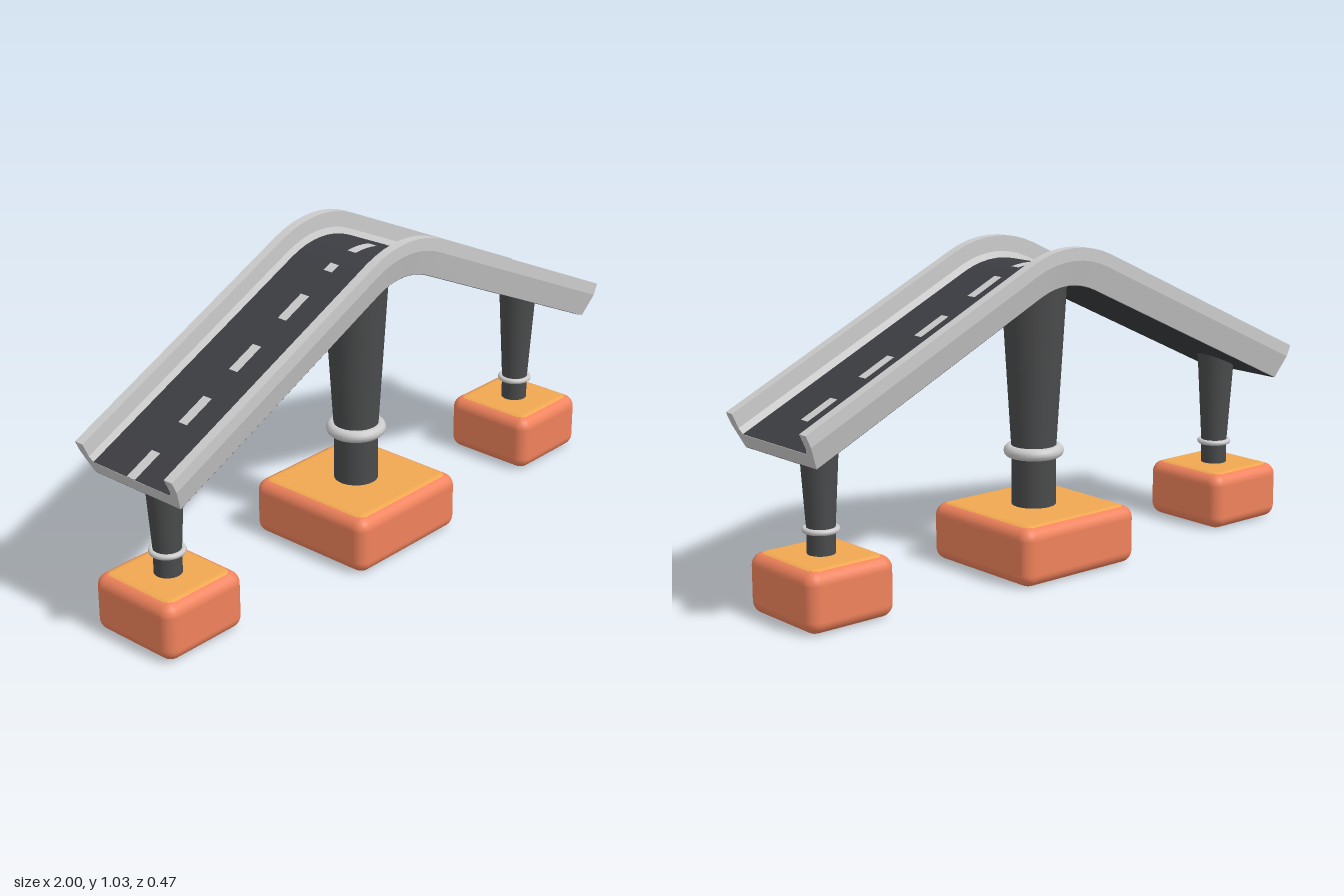
import * as THREE from 'three';
import { toCreasedNormals } from 'three/addons/utils/BufferGeometryUtils.js';
import { RoundedBoxGeometry } from 'three/addons/geometries/RoundedBoxGeometry.js';

const BEND = THREE.MathUtils.degToRad(25); // slope of both ramps
const CY = 0.655;                          // height of the crest's arc centre
const R = 0.26;                            // arc radius at the deck underside
const RAMP = 0.927;                        // length of each straight ramp
const ROAD = 0.047;                        // road height above the underside

const mat = (color, side = THREE.FrontSide) => new THREE.MeshStandardMaterial({ color, side });

// A station is an angle on the crest plus a straight run s along the ramp
function deckPoint({ a, s }, z, h) {
  const r = R + h;
  return new THREE.Vector3(
    r * Math.sin(a) + s * Math.cos(a),
    CY + r * Math.cos(a) - s * Math.sin(a),
    z);
}

// Station whose road surface lies at the given x
function stationAt(x) {
  const r = R + ROAD, edge = r * Math.sin(BEND), sign = Math.sign(x);
  if (Math.abs(x) <= edge) return { a: Math.asin(x / r), s: 0 };
  return { a: sign * BEND, s: (x - sign * edge) / Math.cos(BEND) };
}

// Height of the deck underside at x
function underside(x) {
  const edge = R * Math.sin(BEND), d = Math.abs(x);
  return d < edge
    ? CY + Math.sqrt(R * R - d * d)
    : CY + R * Math.cos(BEND) - (d - edge) * Math.tan(BEND);
}

// Sweep a [z, height] profile through the stations; closed profiles get end caps
function sweep(profile, stations, closed = false) {
  const pts = [];
  const n = profile.length;
  const at = (i, j) => deckPoint(stations[i], ...profile[j % n]);
  for (let i = 0; i < stations.length - 1; i++) {
    for (let j = 0; j < (closed ? n : n - 1); j++) {
      const a = at(i, j), b = at(i, j + 1), c = at(i + 1, j + 1), d = at(i + 1, j);
      pts.push(a, b, c, a, c, d);
    }
  }
  if (closed) {
    const tris = THREE.ShapeUtils.triangulateShape(profile.map(p => new THREE.Vector2(...p)), []);
    for (const i of [0, stations.length - 1]) {
      for (const t of tris) pts.push(...t.map(j => at(i, j)));
    }
  }
  return toCreasedNormals(new THREE.BufferGeometry().setFromPoints(pts), 0.2);
}

export function createModel() {
  const model = new THREE.Group();
  model.name = 'rampBridge';
  const grey = mat(0xcccccc, THREE.DoubleSide);
  const asphalt = mat(0x3c3d42, THREE.DoubleSide);
  const pillarDark = mat(0x4a4b4c);
  const coral = mat(0xf0825c);
  const amber = mat(0xf0a850);

  const add = (parent, name, geometry, material, x = 0, y = 0, z = 0) => {
    const mesh = new THREE.Mesh(geometry, material);
    mesh.name = name;
    mesh.position.set(x, y, z);
    parent.add(mesh);
    return mesh;
  };

  // Deck: trough section with a side wall on each edge
  const stations = [{ a: -BEND, s: -RAMP }];
  for (let i = 0; i <= 8; i++) stations.push({ a: BEND * (i / 4 - 1), s: 0 });
  stations.push({ a: BEND, s: RAMP });
  const wall = [[0.158, ROAD], [0.168, 0.068], [0.168, 0.118], [0.2, 0.118], [0.2, 0.078], [0.178, 0]];
  const trough = [...wall, ...wall.map(([z, h]) => [-z, h]).reverse()];
  add(model, 'deckWithSideWalls', sweep(trough, stations, true), grey);

  // Dark road surface and underside
  const top = ROAD + 0.0015;
  add(model, 'roadSurface', sweep([[-0.159, top], [0.159, top]], stations), asphalt);
  add(model, 'deckUnderside', sweep([[0.177, -0.0015], [-0.177, -0.0015]], stations), asphalt);

  // Centre line dashes
  const dashes = [
    [-0.97, -0.87], [-0.763, -0.66], [-0.554, -0.452], [-0.345, -0.243], [-0.142, -0.11],
    [-0.035, 0.062], [0.13, 0.238], [0.34, 0.446], [0.548, 0.655], [0.757, 0.863],
  ];
  const lane = new THREE.Group();
  lane.name = 'laneMarkings';
  model.add(lane);
  for (const [x0, x1] of dashes) {
    const steps = [0, 0.25, 0.5, 0.75, 1].map(t => stationAt(x0 + (x1 - x0) * t));
    add(lane, 'laneDash', sweep([[-0.017, top + 0.002], [0.017, top + 0.002]], steps), grey);
  }

  // Supports: rounded foot, tapered pillar cut to the deck, collar ring
  const small = { w: 0.31, d: 0.326, r: 0.043, topR: 0.062, ringY: 0.263, ringR: 0.048, tube: 0.009 };
  const large = { w: 0.468, d: 0.466, r: 0.071, topR: 0.105, ringY: 0.365, ringR: 0.076, tube: 0.02 };
  const supports = [
    ['rightSupport', -0.845, small],
    ['middleSupport', -0.015, large],
    ['leftSupport', 0.815, small],
  ];
  for (const [name, x, p] of supports) {
    const support = new THREE.Group();
    support.name = name;
    support.position.x = x;
    model.add(support);

    add(support, 'foot', new RoundedBoxGeometry(p.w, 0.188, p.d, 4, 0.04), coral, 0, 0.094);
    add(support, 'footTop', new RoundedBoxGeometry(p.w - 0.01, 0.16, p.d - 0.01, 4, 0.04), amber, 0, 0.11);

    const profile = [[p.r, 0.15], [p.r, p.ringY], [p.topR, 1], [0, 1]].map(q => new THREE.Vector2(...q));
    const pillar = new THREE.LatheGeometry(profile, 32);
    const pos = pillar.attributes.position;
    for (let i = 0; i < pos.count; i++) {
      if (pos.getY(i) > 0.99) pos.setY(i, underside(x + pos.getX(i)) + 0.015);
    }
    add(support, 'pillar', toCreasedNormals(pillar, 0.5), pillarDark);

    const ring = add(support, 'collarRing', new THREE.TorusGeometry(p.ringR, p.tube, 12, 40), grey, 0, p.ringY);
    ring.rotation.x = Math.PI / 2;
  }
  return model;
}
